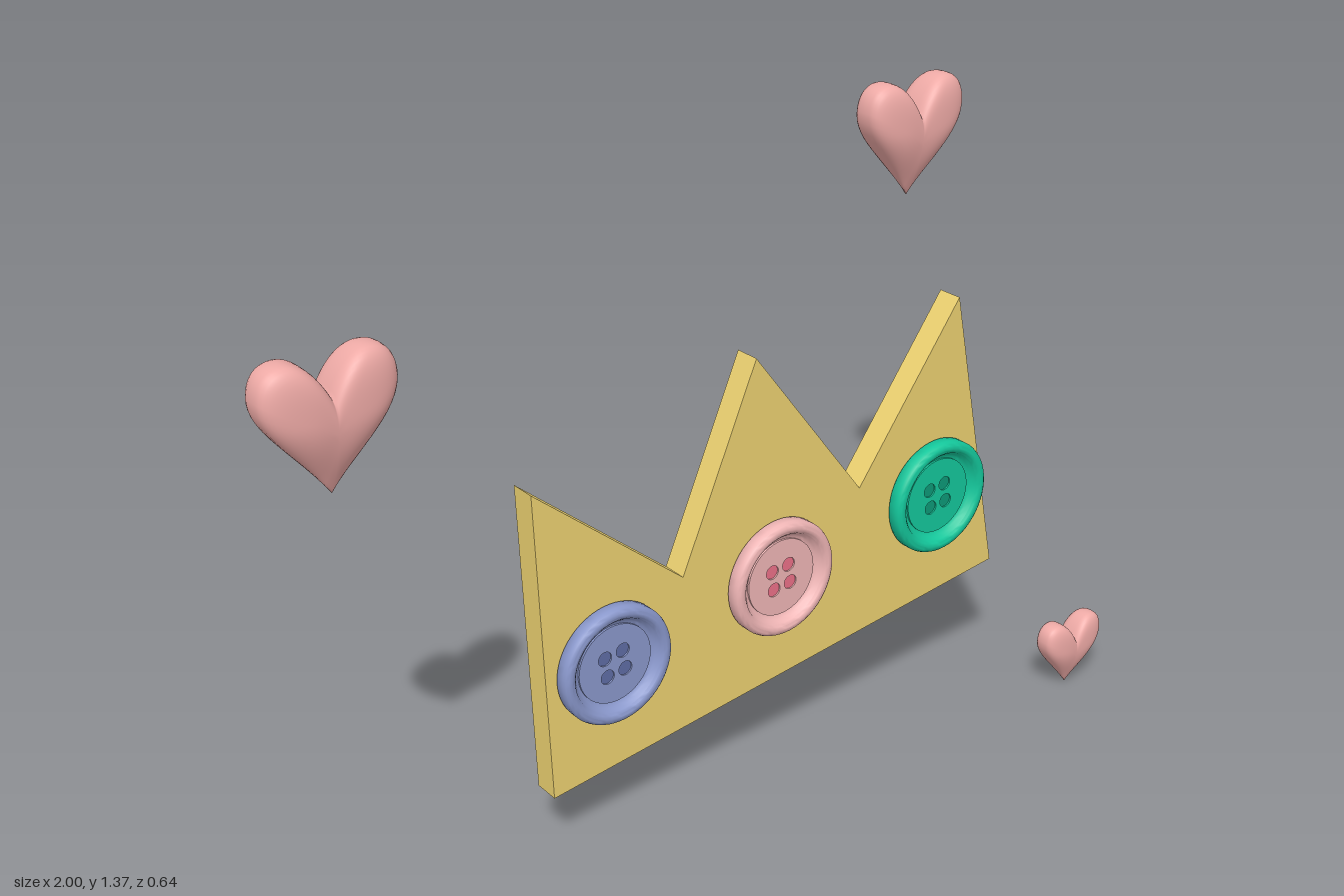
import * as THREE from 'three';
import { toCreasedNormals } from 'three/addons/utils/BufferGeometryUtils.js';

const TILT = 0.13;
const mat = (color) => new THREE.MeshStandardMaterial({ color });

function addMesh(parent, name, geometry, material) {
  const mesh = new THREE.Mesh(geometry, material);
  mesh.name = name;
  parent.add(mesh);
  return mesh;
}

// Flat plate with three peaks
function crownGeometry() {
  const pts = [[-0.449, 0.138], [0.797, 0.299], [0.645, 0.996], [0.372, 0.613],
    [0.075, 0.996], [-0.113, 0.551], [-0.479, 0.851]];
  const shape = new THREE.Shape(pts.map(([x, y]) => new THREE.Vector2(x, y)));
  return new THREE.ExtrudeGeometry(shape, { depth: 0.06, bevelEnabled: false }).translate(0, 0, 0.065);
}

// Puffed heart: the outline is scaled towards a centre while the depth swells;
// the thickness tapers to the tip and dips slightly along the middle.
function heartGeometry() {
  const s = new THREE.Shape();
  s.moveTo(0, 0.203);
  s.bezierCurveTo(0.02, 0.245, 0.05, 0.28, 0.085, 0.28);
  s.bezierCurveTo(0.125, 0.28, 0.143, 0.25, 0.142, 0.21);
  s.bezierCurveTo(0.139, 0.15, 0.06, 0.09, 0, 0);
  const half = s.getPoints(12);
  const mirrored = half.slice(1, -1).reverse().map((p) => new THREE.Vector2(-p.x, p.y));
  const outline = half.concat(mirrored);
  const n = outline.length, rows = 28, cy = 0.135, power = 3.3;
  const pos = [], index = [];
  for (let j = 0; j <= rows; j++) {
    const v = (j / rows) * Math.PI;
    const r = Math.sin(v);
    const swell = Math.sign(Math.cos(v)) * Math.pow(1 - Math.pow(Math.max(0, r), power), 1 / power);
    for (const p of outline) {
      const x = p.x * r, y = cy + (p.y - cy) * r;
      const taper = 0.08 + 0.92 * Math.sin(Math.min(1, Math.max(0, y / 0.17)) * Math.PI / 2);
      const dip = 1 - 0.05 * Math.exp(-((x / 0.03) ** 2));
      pos.push(x, y, 0.056 * swell * taper * dip);
    }
  }
  // each pole is a single shared vertex, so the centre shades smoothly
  const vertex = (j, i) => j * n + (j === 0 || j === rows ? 0 : i % n);
  for (let j = 0; j < rows; j++) {
    for (let i = 0; i < n; i++) {
      const a = vertex(j, i), b = vertex(j, i + 1), c = vertex(j + 1, i), d = vertex(j + 1, i + 1);
      if (j > 0) index.push(a, b, c);
      if (j < rows - 1) index.push(b, d, c);
      if (j === 0) index.splice(-3, 3, a, d, c);
    }
  }
  const g = new THREE.BufferGeometry();
  g.setAttribute('position', new THREE.Float32BufferAttribute(pos, 3));
  g.setIndex(index);
  g.computeVertexNormals();
  return g;
}

// Sewing button facing +z: rounded rim, dished plate with four holes
function makeButton(name, color, holeColor) {
  const group = new THREE.Group();
  group.name = name;
  const body = mat(color);
  const profile = [[0, 0], [0.13, 0], [0.135, 0.005], [0.135, 0.026], [0.132, 0.033], [0.126, 0.037],
    [0.119, 0.038], [0.112, 0.036], [0.107, 0.031], [0.104, 0.024], [0.1, 0.021], [0.096, 0.016],
    [0.088, 0.014], [0, 0.014]].map(([x, y]) => new THREE.Vector2(x, y));
  const rim = toCreasedNormals(new THREE.LatheGeometry(profile, 56), 0.8).rotateX(Math.PI / 2);
  addMesh(group, 'buttonRim', rim, body);

  const plate = new THREE.Shape().absarc(0, 0, 0.09, 0, Math.PI * 2);
  for (const sx of [-1, 1]) for (const sy of [-1, 1]) {
    plate.holes.push(new THREE.Path().absarc(sx * 0.0225, sy * 0.0225, 0.0165, 0, Math.PI * 2, true));
  }
  const plateGeo = new THREE.ExtrudeGeometry(plate, { depth: 0.006, bevelEnabled: false, curveSegments: 24 });
  addMesh(group, 'buttonPlate', plateGeo.translate(0, 0, 0.013), body);
  // darker floor seen through the holes
  addMesh(group, 'buttonHoles', new THREE.CircleGeometry(0.06, 32).translate(0, 0, 0.0155), mat(holeColor));
  group.rotation.z = TILT;
  return group;
}

export function createModel() {
  const model = new THREE.Group();
  model.name = 'crownWithHearts';

  addMesh(model, 'crown', crownGeometry(), mat(0xedd271));

  const buttons = [
    ['rightButton', -0.302, 0.42, 0x8a98cc, 0x5f6da5],
    ['middleButton', 0.138, 0.476, 0xf0b6b6, 0xec7088],
    ['leftButton', 0.594, 0.535, 0x14c89c, 0x0c9a78],
  ];
  for (const [name, x, y, color, holeColor] of buttons) {
    const button = makeButton(name, color, holeColor);
    button.position.set(x, y, 0.125);
    model.add(button);
  }

  // Floating hearts: position of the tip, and size
  const heart = heartGeometry(), pink = mat(0xeeaaa6);
  const hearts = [
    ['rightHeart', -0.858, 0.94, 0.045, 1],
    ['upperLeftHeart', 0.838, 1.09, -0.265, 1],
    ['lowerLeftHeart', 0.911, 0, 0.29, 0.625],
  ];
  for (const [name, x, y, z, size] of hearts) {
    const mesh = addMesh(model, name, heart, pink);
    mesh.position.set(x, y, z);
    mesh.scale.setScalar(size);
  }
  return model;
}
